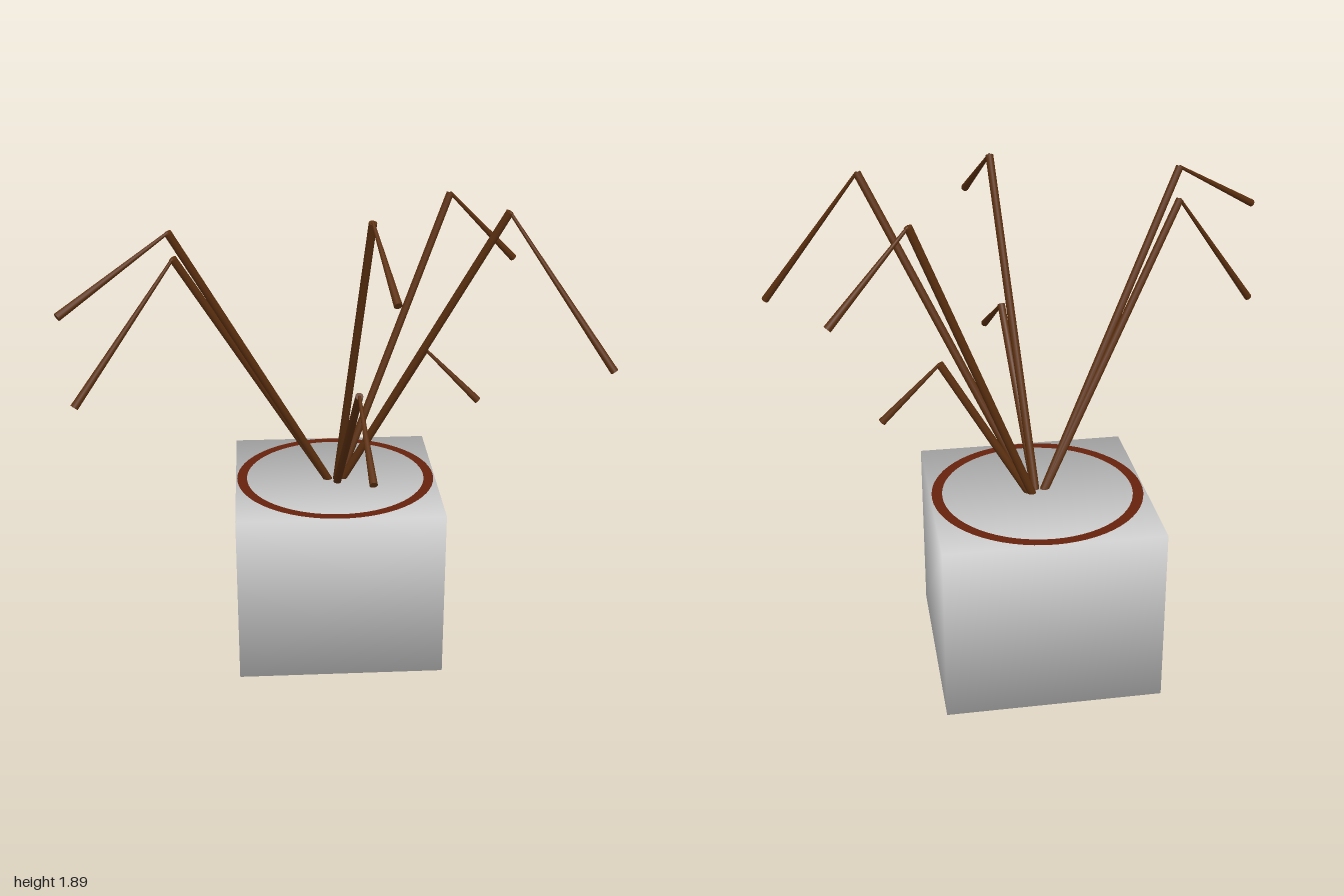
import * as THREE from 'three';

const material = (name, color) => {
  const m = new THREE.MeshStandardMaterial({ color });
  m.name = name;
  return m;
};

// Tapered rod between two points
function rod(name, from, to, r0, r1, mat) {
  const dir = to.clone().sub(from);
  const mesh = new THREE.Mesh(new THREE.CylinderGeometry(r1, r0, dir.length(), 12), mat);
  mesh.name = name;
  mesh.position.copy(from).addScaledVector(dir, 0.5);
  mesh.quaternion.setFromUnitVectors(new THREE.Vector3(0, 1, 0), dir.normalize());
  return mesh;
}

export function createModel() {
  const group = new THREE.Group();
  group.name = 'pottedStems';
  const stone = material('pale grey', 0xd6d6d6);
  const bark = material('brown', 0x5c3010);
  const rust = material('rust brown', 0x66220c);

  const H = 0.695, W = 0.82, Z = -0.24;

  // Square pot, with normals fanning out to the corners for soft shading
  const boxGeo = new THREE.BoxGeometry(W, H, W);
  const p = boxGeo.attributes.position;
  const n = new THREE.Vector3();
  for (let i = 0; i < p.count; i++) {
    n.set(Math.sign(p.getX(i)), Math.sign(p.getY(i)), Math.sign(p.getZ(i))).normalize();
    boxGeo.attributes.normal.setXYZ(i, n.x, n.y, n.z);
  }
  const pot = new THREE.Mesh(boxGeo, stone);
  pot.name = 'pot';
  pot.position.set(0, H / 2, Z);
  group.add(pot);

  // Thin round inlay on the pot's top
  const rim = new THREE.Mesh(new THREE.RingGeometry(0.365, 0.405, 64), rust);
  rim.name = 'rimInlay';
  rim.rotation.x = -Math.PI / 2;
  rim.position.set(0, H + 0.001, Z);
  group.add(rim);

  // Bent stems: elbow and tip of each
  const root = new THREE.Vector3(0, 0.635, Z);
  const stems = [
    [[-0.615, 1.83, 0.16], [-0.99, 1.6, 0.395]],
    [[-0.605, 1.72, 0.1], [-0.97, 1.23, 0.295]],
    [[0.102, 1.88, 0.265], [0.163, 1.67, 0.565]],
    [[0.055, 1.255, 0.31], [0.081, 1.05, 0.635]],
    [[0.47, 1.83, -0.43], [0.757, 1.53, -0.545]],
    [[0.61, 1.875, 0.11], [0.983, 1.33, 0.315]],
    [[0.36, 1.245, -0.23], [0.578, 1.025, -0.222]],
  ];
  for (const [e, t] of stems) {
    const elbow = new THREE.Vector3(...e), tip = new THREE.Vector3(...t);
    const stem = new THREE.Group();
    stem.name = 'stem';
    stem.add(rod('stalk', root, elbow, 0.016, 0.015, bark));
    stem.add(rod('droopingEnd', elbow, tip, 0.006, 0.015, bark));
    group.add(stem);
  }
  return group;
}
